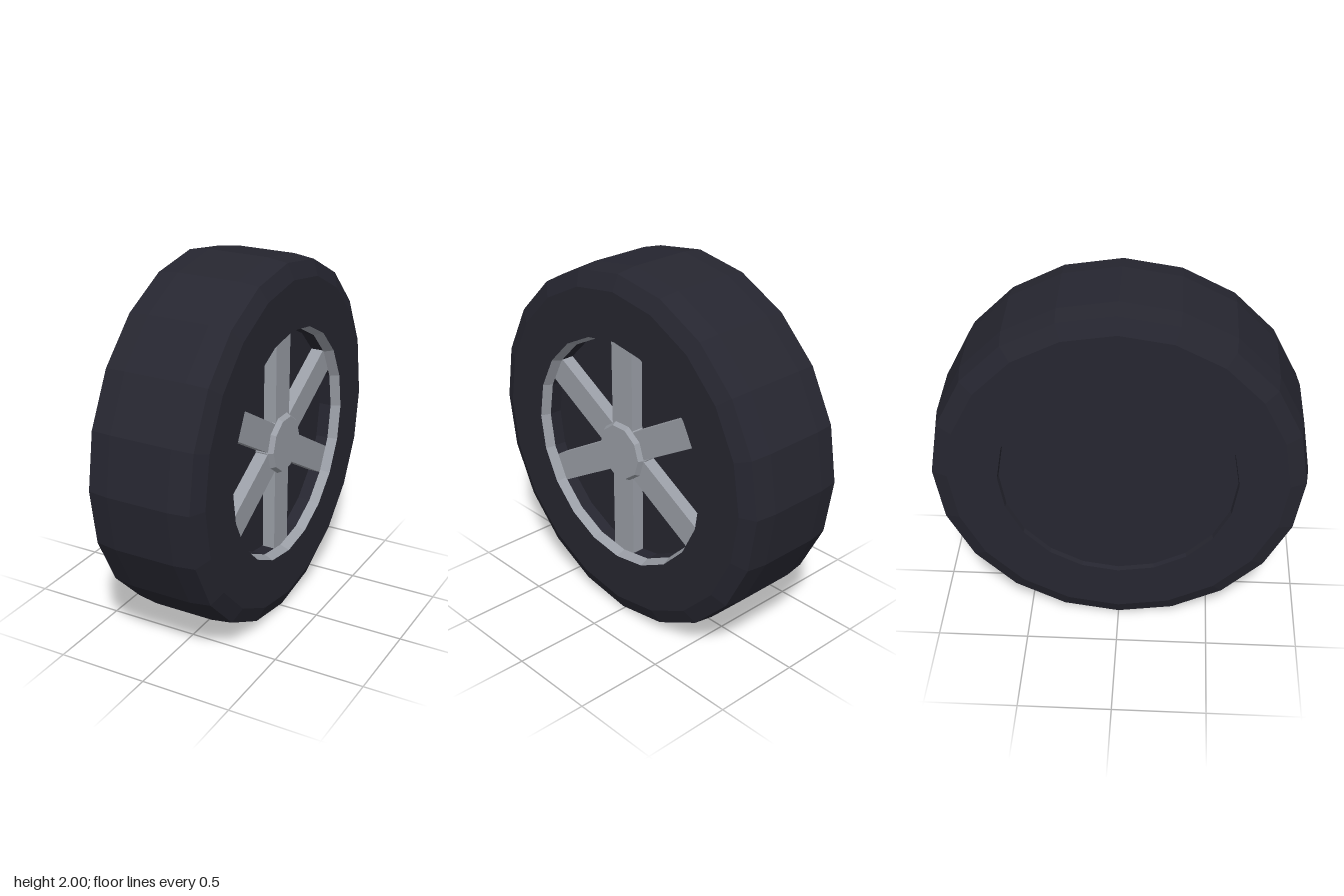
import * as THREE from 'three';

const rubber = new THREE.MeshStandardMaterial({ color: 0x262630, flatShading: true });
rubber.name = 'dark rubber';
const metal = new THREE.MeshStandardMaterial({ color: 0x9a9ea6, flatShading: true });
metal.name = 'silver metal';

// Turned part around the x axle; points are [radius, x]
function turned(name, points, sides, material) {
  const geometry = new THREE.LatheGeometry(points.map(([r, x]) => new THREE.Vector2(r, x)), sides);
  geometry.rotateZ(-Math.PI / 2);
  const mesh = new THREE.Mesh(geometry, material);
  mesh.name = name;
  return mesh;
}

export function createModel() {
  const wheel = new THREE.Group();
  wheel.name = 'wheel';
  const sides = 20;

  // Tyre with chamfered shoulders and a shallow recess in the inner side
  wheel.add(turned('tyre', [
    [0, -0.295], [0.63, -0.295], [0.635, -0.323], [0.9, -0.323], [0.985, -0.285],
    [1, -0.17], [1, 0.17], [0.985, 0.285], [0.9, 0.323], [0.635, 0.323],
  ], sides, rubber));

  // Silver lip, then the dark well behind the spokes
  wheel.add(turned('rimLip', [[0.635, 0.323], [0.615, 0.27]], sides, metal));
  wheel.add(turned('rimWell', [[0.615, 0.27], [0.615, 0.2], [0, 0.2]], sides, rubber));

  // Six spokes
  const inner = 0.1, outer = 0.617;
  for (let i = 0; i < 6; i++) {
    const geometry = new THREE.BoxGeometry(0.08, outer - inner, 0.155);
    geometry.translate(0.23, (inner + outer) / 2, 0);
    const spoke = new THREE.Mesh(geometry, metal);
    spoke.name = `spoke${i + 1}`;
    spoke.rotation.x = i * Math.PI / 3;
    wheel.add(spoke);
  }

  // Bevelled hub cap
  wheel.add(turned('hubCap', [[0.168, 0.19], [0.168, 0.265], [0.15, 0.297], [0, 0.297]], 10, metal));

  wheel.position.y = 1;
  const model = new THREE.Group();
  model.name = 'wheelModel';
  model.add(wheel);
  return model;
}
